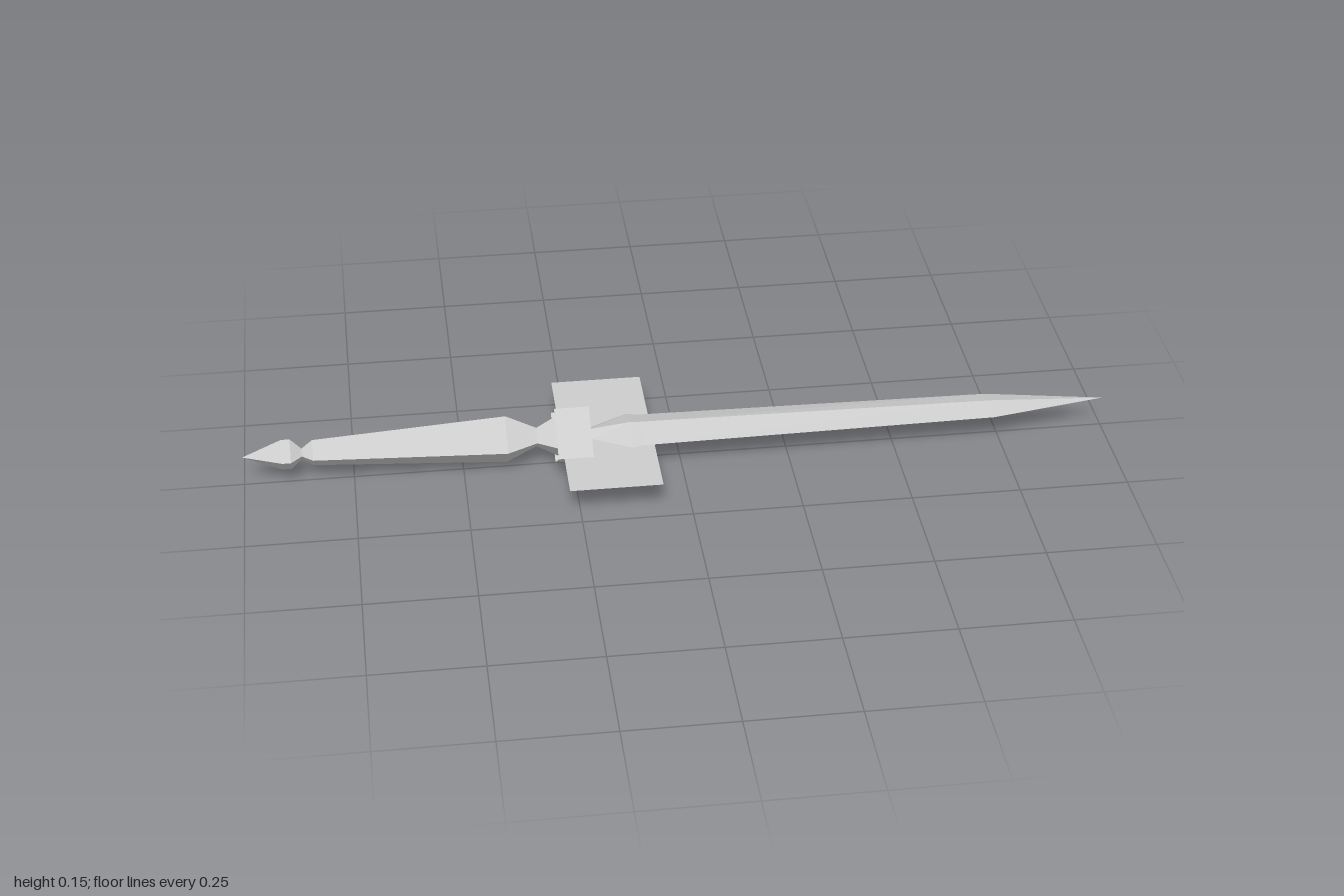
import * as THREE from 'three';

const AXIS_Y = 0.073;

// Diamond-section loft along x; stations are [x, half height, half width]
function diamondLoft(stations) {
  const pos = [];
  const ring = ([x, h, w]) => [[x, h, 0], [x, 0, w], [x, -h, 0], [x, 0, -w]];
  const tri = (a, b, c) => pos.push(...a, ...b, ...c);
  for (let i = 0; i < stations.length - 1; i++) {
    const a = ring(stations[i]);
    const b = ring(stations[i + 1]);
    for (let k = 0; k < 4; k++) {
      const n = (k + 1) % 4;
      if (stations[i][1] > 0) tri(a[k], a[n], b[k]);
      if (stations[i + 1][1] > 0) tri(a[n], b[n], b[k]);
    }
  }
  const geo = new THREE.BufferGeometry();
  geo.setAttribute('position', new THREE.Float32BufferAttribute(pos, 3));
  geo.computeVertexNormals(); // unshared corners give flat facets
  return geo;
}

export function createModel() {
  const group = new THREE.Group();
  const steel = new THREE.MeshStandardMaterial({ color: 0xcccccc, side: THREE.DoubleSide });
  steel.name = 'steel grey';

  const add = (name, geo) => {
    const mesh = new THREE.Mesh(geo, steel);
    mesh.name = name;
    mesh.position.y = AXIS_Y;
    group.add(mesh);
  };

  // Pointed pommel and its thin neck
  add('pommel', diamondLoft([
    [-1, 0, 0], [-0.91, 0.04, 0.038], [-0.89, 0.04, 0.038], [-0.865, 0.013, 0.013],
  ]));

  // Swelling grip that pinches and flares into the collar
  add('grip', diamondLoft([
    [-0.865, 0.013, 0.013], [-0.84, 0.034, 0.034], [-0.4, 0.062, 0.062],
    [-0.33, 0.025, 0.027], [-0.28, 0.056, 0.058], [-0.205, 0.012, 0.025],
  ]));

  // Open diamond sleeve around the flare
  add('collar', diamondLoft([[-0.288, 0.073, 0.1], [-0.208, 0.073, 0.1]]));

  // Flat crossguard plate
  const plate = new THREE.PlaneGeometry(0.21, 0.464).rotateX(-Math.PI / 2).translate(-0.17, 0, 0);
  add('guardPlate', plate);

  // Tapering blade
  add('blade', diamondLoft([
    [-0.205, 0.012, 0.025], [-0.115, 0.023, 0.073], [-0.09, 0.022, 0.066],
    [0.73, 0.014, 0.052], [1, 0, 0],
  ]));

  return group;
}
